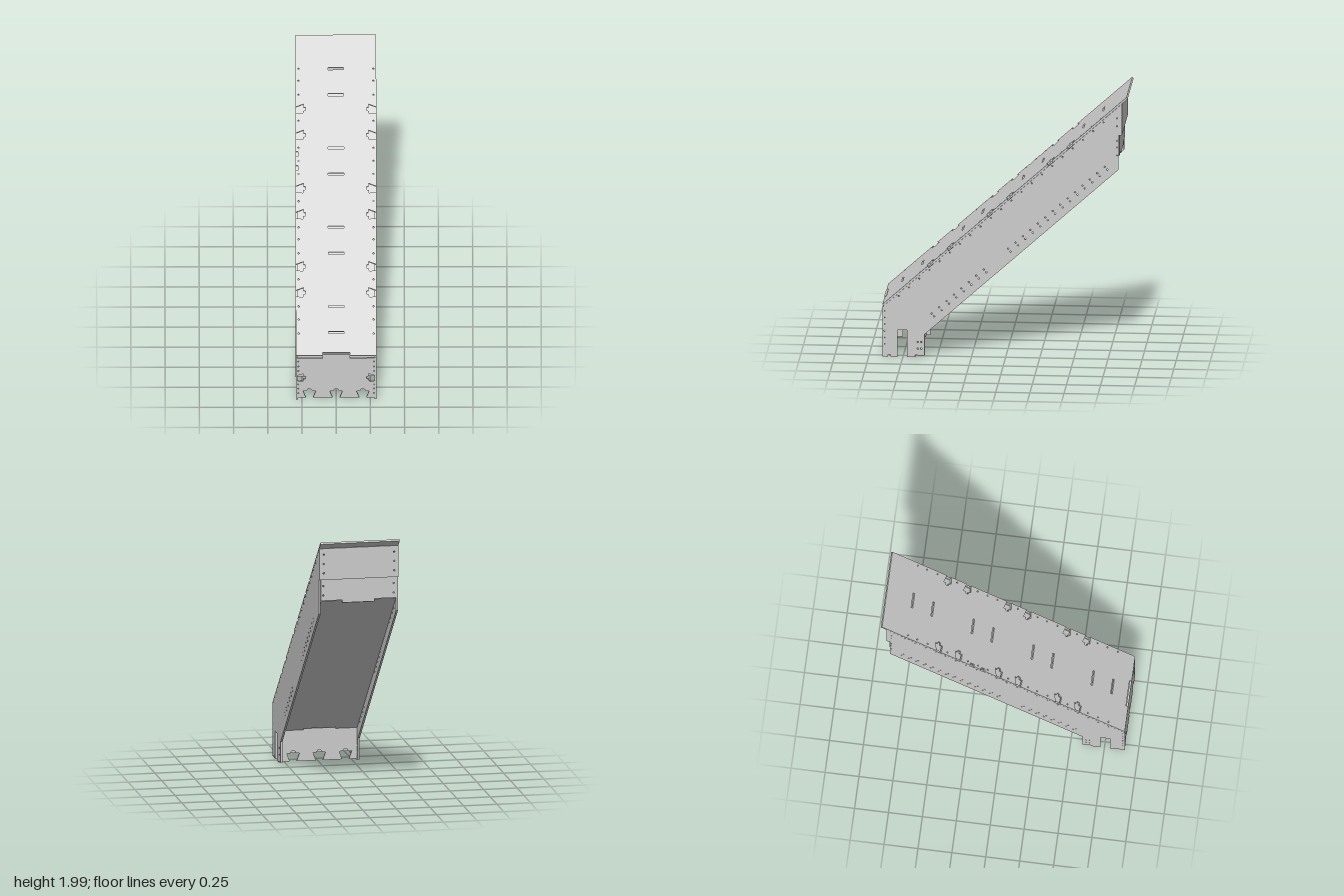
import * as THREE from 'three';

const W = 0.295, T = 0.014;                 // half width, sheet thickness
const A = Math.atan2(1.6, 1.79);            // slope of the chute
const SIN = Math.sin(A), COS = Math.cos(A), TAN = SIN / COS;
const mat = new THREE.MeshStandardMaterial({ color: 0xcccccc, flatShading: true, side: THREE.DoubleSide });

const toPath = (pts, C = THREE.Path) => new C(pts.map(p => new THREE.Vector2(p[0], p[1])));

const dot = (x, y, r = 0.006) => {
  const p = new THREE.Path();
  p.absarc(x, y, r, 0, Math.PI * 2, true);
  return p;
};

const rect = (x, y, hw, hh) => toPath([[x - hw, y - hh], [x - hw, y + hh], [x + hw, y + hh], [x + hw, y - hh]]);

function plate(name, outline, holes, depth = T) {
  const shape = toPath(outline, THREE.Shape);
  shape.holes.push(...holes);
  const geo = new THREE.ExtrudeGeometry(shape, { depth, bevelEnabled: false, curveSegments: 4 });
  const mesh = new THREE.Mesh(geo, mat);
  mesh.name = name;
  return mesh;
}

// Lay a sheet drawn in (x, along slope) on the incline, starting at height y and depth z
function incline(mesh, y, z) {
  mesh.rotation.x = A - Math.PI / 2;
  mesh.position.set(0, y, z);
  return mesh;
}

// Edge notch for a bent latch, listed upward along the +x edge
const latch = s => [[W, s - 0.03], [0.243, s - 0.036], [0.24, s - 0.016], [0.224, s - 0.012],
  [0.222, s + 0.01], [0.237, s + 0.014], [0.237, s + 0.036], [W, s + 0.014]];
const mirror = pts => pts.map(([x, y]) => [-x, y]).reverse();

// Dovetail cutout with a rounded crown in a foot edge, listed left to right
const dovetail = (c, y = 0.02) => [[c - 0.026, y], [c - 0.047, 0.08], [c - 0.022, 0.08], [c - 0.012, 0.097],
  [c + 0.012, 0.097], [c + 0.022, 0.08], [c + 0.047, 0.08], [c + 0.026, y]];

function sidePanel(name) {
  // Drawn in (-z, y)
  const outline = [[-0.9, 0.005], [-0.86, 0.005], [-0.86, 0.02], [-0.84, 0.02], [-0.84, 0.005], [-0.79, 0.005],
    [-0.79, 0.21], [-0.72, 0.21], [-0.72, 0.005], [-0.66, 0.005], [-0.66, 0.02], [-0.59, 0.02], [-0.59, 0.18],
    [0.83, 1.45], [0.83, 1.71], [0.852, 1.71], [0.852, 1.945], [-0.9, 0.38]];
  const holes = [];
  for (const z of [0.615, 0.64]) for (const y of [0.07, 0.12]) holes.push(dot(-z, y));
  for (let y = 0.1; y < 0.37; y += 0.05) holes.push(dot(-0.886, y, 0.005));
  for (const y of [1.56, 1.62, 1.67, 1.78, 1.84]) holes.push(dot(0.82, y, 0.005));
  // Paired rivet holes along the floor
  for (const [z0, n] of [[0.53, 8], [-0.03, 14]]) {
    for (let i = 0; i < n; i++) {
      const u = -z0 + i * 0.0545, y = 0.18 + (u + 0.59) * TAN + 0.093;
      holes.push(dot(u - 0.009, y + 0.01), dot(u + 0.009, y - 0.01));
    }
  }
  // Rivet holes along the top edge
  for (let u = -0.78; u < 0.75; u += 0.075) holes.push(dot(u, 0.38 + (u + 0.9) * TAN - 0.022, 0.005));
  const mesh = plate(name, outline, holes);
  mesh.rotation.y = Math.PI / 2;
  return mesh;
}

export function createModel() {
  const g = new THREE.Group();
  g.name = 'chute';

  // Side walls
  const left = sidePanel('leftSide'), right = sidePanel('rightSide');
  left.position.x = W - T;
  right.position.x = -W;
  g.add(left, right);

  // Sloping cover with slots, latches and rivet holes
  const L = 1.79 / COS - T * TAN * 0.1;
  const alongY = y => (y - 0.4) / SIN;
  const latches = [0.715, 0.845, 1.105, 1.235, 1.5, 1.63].map(alongY);
  const edge = latches.flatMap(latch);
  const extra = [1.335, 1.405].map(alongY);
  // The -x edge has two additional small notches
  const edgeRight = [];
  latches.forEach((s, i) => {
    edgeRight.push(...latch(s));
    if (i === 3) for (const e of extra) {
      edgeRight.push([W, e - 0.018], [W - 0.018, e - 0.018], [W - 0.018, e + 0.018], [W, e + 0.018]);
    }
  });
  const holes = [0.515, 0.645, 0.91, 1.04, 1.305, 1.435, 1.70, 1.83].map(y => rect(0, alongY(y), 0.057, 0.008));
  for (const y of [0.51, 0.58, 0.645, 0.78, 0.91, 0.98, 1.04, 1.17, 1.305, 1.37, 1.435, 1.57, 1.7, 1.77, 1.83]) {
    holes.push(dot(0.274, alongY(y)), dot(-0.274, alongY(y)));
  }
  const cover = plate('cover', [[-W, 0], [-0.1, 0], [-0.1, 0.022], [0.1, 0.022], [0.1, 0], [W, 0],
    ...edge, [W, L], [-W, L], ...mirror(edgeRight)], holes);
  g.add(incline(cover, 0.4 - T * COS, 0.9 - T * SIN));

  // Folded flanges below the cover edges
  for (const s of [-1, 1]) {
    const x0 = s * 0.2, x1 = s * (W - T);
    const flange = plate('coverFlange', [[x0, 0.04], [x1, 0.04], [x1, L - 0.08], [x0, L - 0.08]], [], 0.006);
    g.add(incline(flange, 0.4 - 0.032 * COS, 0.9 - 0.032 * SIN));
  }

  // Front plate with centre tab, latches and dovetailed foot
  const fe = latch(0.2);
  const fh = [];
  for (const s of [-1, 1]) for (const y of [0.06, 0.1, 0.14, 0.26, 0.3, 0.345]) fh.push(dot(s * 0.277, y, 0.005));
  const front = plate('frontPlate', [[-W, 0.005], [-0.28, 0.005], [-0.28, 0.02],
    ...[-0.195, 0, 0.195].flatMap(c => dovetail(c)), [0.28, 0.02], [0.28, 0.005], [W, 0.005],
    ...fe, [W, 0.375], [0.1, 0.375], [0.1, 0.41], [-0.1, 0.41], [-0.1, 0.375], [-W, 0.375], ...mirror(fe)], fh);
  front.position.z = 0.9 - T;
  g.add(front);

  // Rear foot plate
  const I = W - T;
  const foot = plate('rearFootPlate', [[-I, 0.02], ...[-0.195, 0, 0.195].flatMap(c => dovetail(c)), [I, 0.02],
    [I, 0.255], [0.12, 0.255], [0.12, 0.275], [-0.12, 0.275], [-0.12, 0.255], [-I, 0.255]], []);
  foot.position.z = 0.62;
  g.add(foot);

  // Sloping floor, recessed between the walls
  const F = 1.445 / COS;
  const floor = plate('floor', [[-I, 0], [-0.12, 0], [-0.12, 0.018], [0.12, 0.018], [0.12, 0], [I, 0],
    [I, F], [0.12, F], [0.12, F - 0.02], [-0.12, F - 0.02], [-0.12, F], [-I, F]], []);
  g.add(incline(floor, 0.253, 0.62));

  // Back plates, the upper one lapping over the lower
  const bh = ys => ys.flatMap(y => [dot(0.262, y), dot(-0.262, y)]);
  const lower = plate('lowerBackPlate', [[-I, 1.55], [-0.12, 1.55], [-0.12, 1.53], [0.12, 1.53], [0.12, 1.55],
    [I, 1.55], [I, 1.715], [-I, 1.715]], bh([1.59, 1.66]));
  lower.position.z = -0.836;
  const upper = plate('upperBackPlate', [[-W, 1.71], [W, 1.71], [W, 1.945], [-W, 1.945]], bh([1.76, 1.83, 1.9]));
  upper.position.z = -0.856;
  g.add(lower, upper);

  return g;
}
